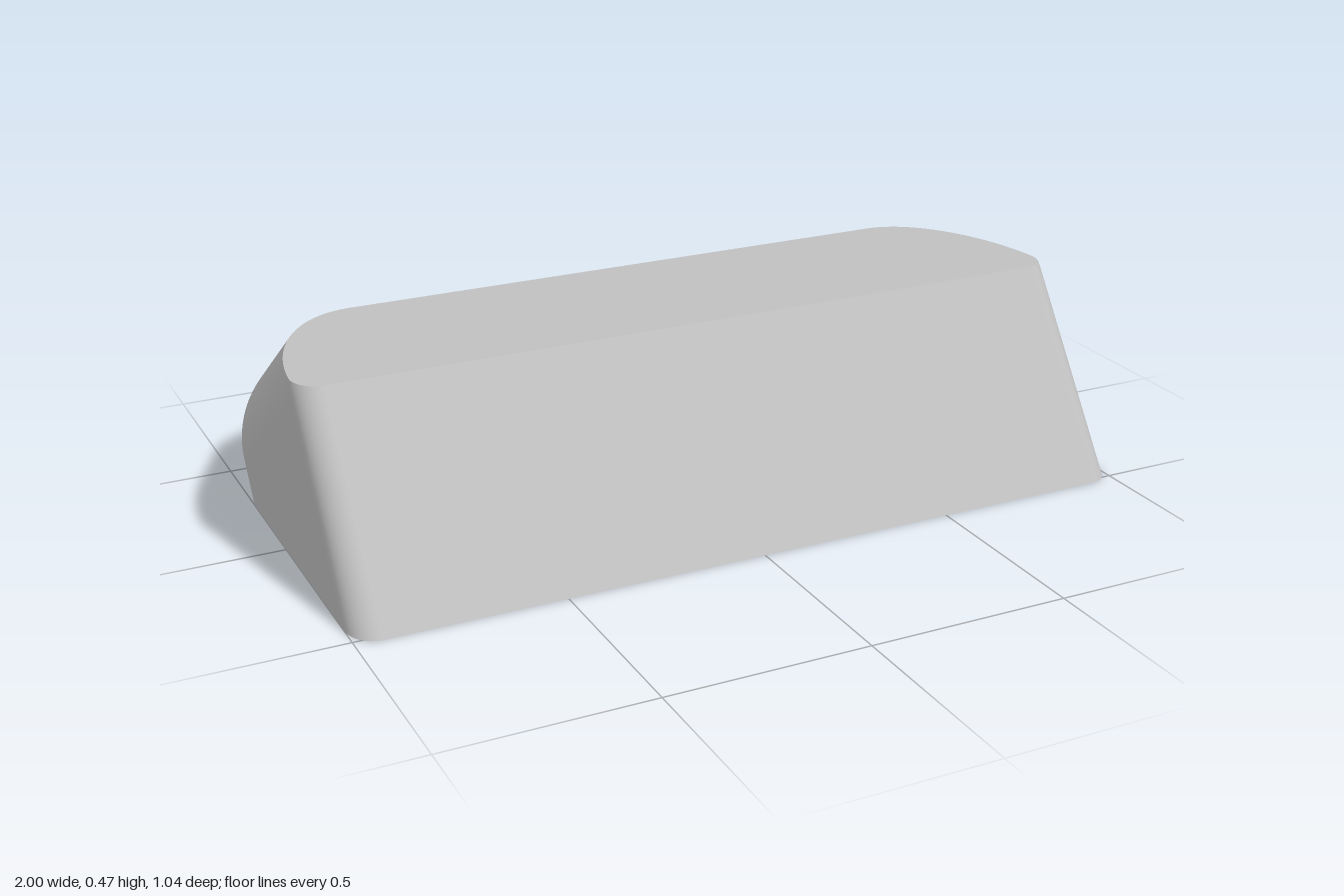
import * as THREE from 'three';

// The block is a rounded box leaning back, sliced flat at the base and the top.
const HEIGHT = 0.473, LEAN = 0.609;
const C = Math.cos(LEAN), S = Math.sin(LEAN);
const FRONT = 0.425, BACK = -0.282, CROWN = 0.545; // faces in the leaning frame
const FILLET = 0.063, CORNER = 0.27;

// Half the width of the leaning box at a height and depth, or -1 outside it
function halfWidth(y, z) {
  const u = C * y - S * z, w = C * z + S * y;
  const edge = Math.min(FRONT - w, w - BACK);
  if (edge < -1e-6) return -1;
  const k = Math.max(0, FILLET - Math.max(0, edge));
  const inset = FILLET - Math.sqrt(FILLET * FILLET - k * k);
  const v = u - (CROWN - CORNER), r = CORNER - inset;
  if (v <= 0) return 1 - inset;
  return v > r ? -1 : 1 - CORNER + Math.sqrt(r * r - v * v);
}

// Rearmost depth of the box at a height
function backDepth(y) {
  let inside = 0, outside = -0.7;
  for (let i = 0; i < 40; i++) {
    const mid = (inside + outside) / 2;
    if (halfWidth(y, mid) >= 0) inside = mid; else outside = mid;
  }
  return inside;
}

// Horizontal outline, counterclockwise from above, denser at both ends
function outline(y, steps = 56) {
  const front = (FRONT - S * y) / C, back = backDepth(y);
  const side = [];
  for (let i = 0; i <= steps; i++) {
    const t = (1 - Math.cos((Math.PI * i) / steps)) / 2;
    const z = front + (back - front) * t;
    side.push([Math.max(0, halfWidth(y, z)), y, z]);
  }
  return [...side, ...side.map(([x, h, z]) => [-x, h, z]).reverse()];
}

function geometryFrom(points, index) {
  const g = new THREE.BufferGeometry();
  g.setAttribute('position', new THREE.Float32BufferAttribute(points.flat(), 3));
  g.setIndex(index);
  g.computeVertexNormals();
  return g;
}

// Skin joining the outlines from base to top
function wall(rows = 64) {
  const loops = [];
  for (let i = 0; i <= rows; i++) loops.push(outline((HEIGHT * i) / rows));
  const n = loops[0].length, index = [];
  for (let i = 0; i < rows; i++) {
    for (let j = 0; j < n; j++) {
      const k = (j + 1) % n;
      const a = i * n + j, b = i * n + k, c = b + n, d = a + n;
      index.push(a, b, c, a, c, d);
    }
  }
  return geometryFrom(loops.flat(), index);
}

// Flat end face
function cap(y, up) {
  const loop = outline(y), index = [];
  for (let j = 1; j < loop.length - 1; j++) {
    index.push(0, up ? j : j + 1, up ? j + 1 : j);
  }
  return geometryFrom(loop, index);
}

export function createModel() {
  const model = new THREE.Group();
  model.name = 'slantedBlock';
  const grey = new THREE.MeshStandardMaterial({ color: 0xbfbfbf });
  grey.name = 'light grey';
  const add = (name, geometry) => {
    const mesh = new THREE.Mesh(geometry, grey);
    mesh.name = name;
    model.add(mesh);
  };
  add('roundedSides', wall());
  add('topFace', cap(HEIGHT, true));
  add('baseFace', cap(0, false));
  return model;
}
